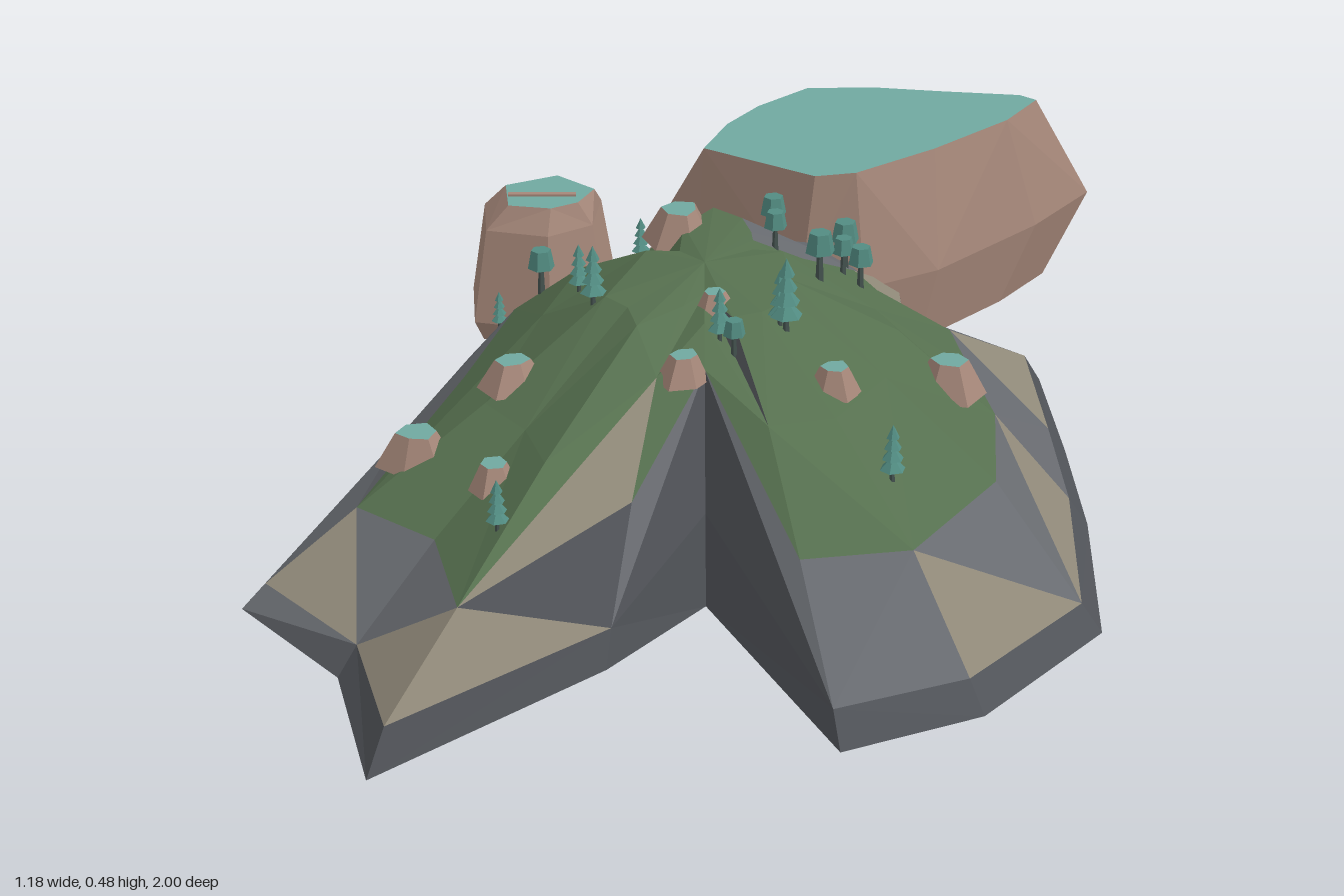
import * as THREE from 'three';

const COLORS = { grass: 0x56704f, rock: 0x686b70, darkRock: 0x505358, sand: 0x8f8878, clay: 0xa58779,
  teal: 0x70a8a0, leaf: 0x528c82, trunk: 0x44524f, base: 0x3b3c3f };
const MATERIALS = {};
for (const key in COLORS) {
  MATERIALS[key] = new THREE.MeshStandardMaterial({ color: COLORS[key], flatShading: true });
}

function makeMesh(name, geometry, material) {
  const mesh = new THREE.Mesh(geometry, MATERIALS[material]);
  mesh.name = name;
  return mesh;
}

function fromTriangles(tris) {
  const g = new THREE.BufferGeometry().setFromPoints(tris.flat());
  g.computeVertexNormals();
  return g;
}

// Small repeatable noise in -1..1
const noise = (i, j) => {
  const s = Math.sin(i * 127.1 + j * 311.7) * 43758.5453;
  return (s - Math.floor(s)) * 2 - 1;
};

// Side walls between loops listed top to bottom, each anticlockwise from above
function wallTriangles(loops) {
  const tris = [];
  for (let r = 0; r < loops.length - 1; r++) {
    const a = loops[r], b = loops[r + 1], n = a.length;
    for (let i = 0; i < n; i++) {
      const k = (i + 1) % n;
      if ((i + r) % 2) tris.push([a[i], b[i], b[k]], [a[i], b[k], a[k]]);
      else tris.push([a[i], b[i], a[k]], [a[k], b[i], b[k]]);
    }
  }
  return tris;
}

function centreOf(loop) {
  return loop.reduce((s, p) => s.add(p), new THREE.Vector3()).divideScalar(loop.length);
}

function capTriangles(loop, centre = centreOf(loop), down = false) {
  return loop.map((p, i) => {
    const q = loop[(i + 1) % loop.length];
    return down ? [centre, q, p] : [centre, p, q];
  });
}

// Shore: x, z, base height, then slope heights at the three outer rings
const SHORE = [
  [-0.28, -1.0, 0.04, 0.25, 0.15, 0.07], [-0.4, -0.65, 0, 0.26, 0.16, 0.07],
  [-0.31, -0.22, 0.03, 0.32, 0.22, 0.11], [-0.53, -0.175, 0.04, 0.315, 0.205, 0.09],
  [-0.55, 0.12, 0.045, 0.3, 0.19, 0.085], [-0.59, 0.61, 0.045, 0.265, 0.155, 0.075],
  [-0.4, 0.74, 0.035, 0.27, 0.17, 0.07], [-0.265, 1.0, 0.05, 0.29, 0.185, 0.105],
  [-0.05, 0.63, 0.035, 0.345, 0.22, 0.085], [0.03, 0.4, 0.02, 0.38, 0.35, 0.16],
  [0.3, 0.72, 0.01, 0.31, 0.19, 0.055], [0.47, 0.59, 0.015, 0.3, 0.185, 0.055],
  [0.59, 0.345, 0.025, 0.31, 0.205, 0.06], [0.52, 0.05, 0.035, 0.32, 0.2, 0.075],
  [0.45, -0.16, 0.045, 0.305, 0.195, 0.085], [0.37, -0.385, 0.05, 0.28, 0.18, 0.1],
  [0.165, -0.37, 0.05, 0.31, 0.23, 0.16], [0.125, -0.52, 0.05, 0.3, 0.22, 0.14],
  [0.08, -0.65, 0.03, 0.28, 0.18, 0.08], [-0.04, -0.87, 0.03, 0.25, 0.15, 0.07]];
const RINGS = [0.22, 0.48, 0.74, 0.95, 1];
const FRONT_TIP = 7, CLEFT = 9;

function buildHill() {
  const hill = new THREE.Group();
  hill.name = 'hill';
  const peak = new THREE.Vector3(-0.06, 0.4, 0.06);
  const loops = RINGS.map((t, r) => SHORE.map(([x, z, low, ...slope], i) => {
    const jitter = r === 1 || r === 2 ? 0.025 * noise(i, r) : 0;
    const u = i === CLEFT ? t : t + jitter;
    const y = [0.385, ...slope, low][r];
    return new THREE.Vector3(peak.x + (x - peak.x) * u, y, peak.z + (z - peak.z) * u);
  }));
  const tris = [...capTriangles(loops[0], peak), ...wallTriangles(loops)];

  // Sort faces into ground types by height and steepness; the front cleft is bare rock
  const bands = { grass: [], rock: [], darkRock: [], sand: [] };
  tris.forEach((t, n) => {
    const c = centreOf(t);
    const up = new THREE.Triangle(...t).getNormal(new THREE.Vector3()).y;
    const sector = n < SHORE.length ? n : Math.floor(n / 2) % SHORE.length;
    const inCleft = sector >= FRONT_TIP && sector <= CLEFT && n >= SHORE.length && c.y < 0.365;
    let kind = 'rock';
    if (c.y < 0.08) kind = up < 0.75 ? 'darkRock' : 'rock';
    else if (c.y > 0.19 && up > 0.62 && !inCleft) kind = 'grass';
    else if (up < 0.5) kind = 'darkRock';
    else if (noise(n, 5) > 0.4 && !inCleft) kind = 'sand';
    bands[kind].push(t);
  });
  for (const kind in bands) hill.add(makeMesh(kind + 'Slopes', fromTriangles(bands[kind]), kind));
  const under = capTriangles(loops[4], new THREE.Vector3(-0.06, 0.025, 0.06), true);
  hill.add(makeMesh('underside', fromTriangles(under), 'base'));

  // Ground height for planting
  const ray = new THREE.Raycaster();
  const groundAt = (x, z) => {
    ray.set(new THREE.Vector3(x, 2, z), new THREE.Vector3(0, -1, 0));
    return ray.intersectObjects(hill.children)[0].point.y;
  };
  return { hill, groundAt };
}

// Clay outcrop with a teal top
function buildOutcrop(name, loops) {
  const group = new THREE.Group();
  group.name = name;
  const last = loops[loops.length - 1];
  const walls = [...wallTriangles(loops), ...capTriangles(last, undefined, true)];
  group.add(makeMesh(name + 'Walls', fromTriangles(walls), 'clay'));
  group.add(makeMesh(name + 'Top', fromTriangles(capTriangles(loops[0])), 'teal'));
  return group;
}

// Level loop, optionally scaled about its middle and moved in z
function loopAt(points, y, scale = 1, dz = 0) {
  const loop = points.map(([x, z]) => new THREE.Vector3(x, y, z));
  const c = centreOf(loop);
  loop.forEach(p => p.sub(c).multiplyScalar(scale).add(c).setZ(p.z + dz));
  return loop;
}

function buildBoulder(x, y, z, r, seed) {
  const ring = (radius, h) => Array.from({ length: 6 }, (_, i) => {
    const a = -i * Math.PI / 3 + seed, q = radius * (1 + 0.2 * noise(i, seed));
    return new THREE.Vector3(x + q * Math.cos(a), y + h, z + q * Math.sin(a));
  });
  return buildOutcrop('boulder', [ring(r * 0.5, r * 0.6), ring(r, -r * 0.35)]);
}

// Layered conifer
function buildConifer(x, y, z, h) {
  const tree = new THREE.Group();
  tree.name = 'conifer';
  const trunk = makeMesh('trunk', new THREE.CylinderGeometry(h * 0.035, h * 0.05, h * 0.4, 5), 'trunk');
  trunk.position.y = h * 0.12;
  tree.add(trunk);
  for (let i = 0; i < 4; i++) {
    const tier = makeMesh('branches', new THREE.ConeGeometry(h * (0.22 - i * 0.035), h * 0.24, 6), 'leaf');
    tier.position.y = h * (0.32 + i * 0.19);
    tree.add(tier);
  }
  tree.position.set(x, y, z);
  return tree;
}

// Round-topped tree
function buildBroadleaf(x, y, z, h) {
  const tree = new THREE.Group();
  tree.name = 'broadleafTree';
  const trunk = makeMesh('trunk', new THREE.CylinderGeometry(h * 0.06, h * 0.09, h * 0.65, 5), 'trunk');
  trunk.position.y = h * 0.28;
  const crown = makeMesh('crown', new THREE.CylinderGeometry(h * 0.22, h * 0.3, h * 0.42, 6), 'leaf');
  crown.position.y = h * 0.8;
  tree.add(trunk, crown);
  tree.position.set(x, y, z);
  return tree;
}

export function createModel() {
  const model = new THREE.Group();
  model.name = 'island';
  const { hill, groundAt } = buildHill();
  model.add(hill);

  // Large mesa at the back
  const top = [[-0.1, -0.76], [-0.16, -0.66], [-0.19, -0.57], [-0.2, -0.46], [0, -0.39], [0.06, -0.42],
    [0.16, -0.55], [0.25, -0.7], [0.28, -0.8], [0.25, -0.815], [0.12, -0.8], [0.01, -0.79]];
  const mid = [[-0.18, -0.89], [-0.31, -0.7], [-0.31, -0.6], [-0.21, -0.45], [-0.02, -0.38], [0.08, -0.4],
    [0.18, -0.5], [0.3, -0.72], [0.36, -0.88], [0.305, -0.97], [0.17, -0.88], [0, -0.85]];
  model.add(buildOutcrop('largeMesa', [loopAt(top, 0.36), loopAt(mid, 0.17), loopAt(mid, 0.045, 0.82, 0.04)]));

  // Small mesa at the side
  const smallTop = [[-0.46, -0.5], [-0.53, -0.44], [-0.5, -0.36], [-0.43, -0.365], [-0.395, -0.4], [-0.385, -0.46]];
  const smallMid = [[-0.5, -0.555], [-0.595, -0.45], [-0.55, -0.32], [-0.42, -0.32], [-0.35, -0.4], [-0.37, -0.53]];
  model.add(buildOutcrop('smallMesa', [loopAt(smallTop, 0.27), loopAt(smallMid, 0.23, 0.8),
    loopAt(smallMid, 0.075), loopAt(smallMid, 0.04, 0.88)]));
  const ledge = makeMesh('smallMesaLedge', new THREE.BoxGeometry(0.11, 0.006, 0.012), 'clay');
  ledge.position.set(-0.46, 0.27, -0.415);
  ledge.rotation.y = 0.25;
  model.add(ledge);

  // Boulders: x, z, radius
  [[-0.14, -0.1, 0.055], [-0.21, -0.13, 0.035], [0.31, 0.065, 0.055], [0.18, 0.25, 0.042],
    [-0.02, 0.32, 0.042], [-0.02, 0.16, 0.03], [-0.285, 0.285, 0.045], [-0.4, 0.385, 0.055],
    [-0.25, 0.49, 0.042]].forEach(([x, z, r], i) => model.add(buildBoulder(x, groundAt(x, z), z, r, i + 1)));

  // Conifers: x, z, height
  [[-0.28, -0.365, 0.07], [-0.445, -0.135, 0.06], [-0.255, 0.055, 0.075], [-0.195, 0.18, 0.09],
    [0.095, 0.19, 0.11], [0.085, 0.185, 0.085], [0.29, 0.365, 0.085], [-0.2, 0.63, 0.075],
    [0.01, 0.24, 0.08]].forEach(([x, z, h]) => model.add(buildConifer(x, groundAt(x, z), z, h)));

  // Broadleaf trees: x, z, height
  [[-0.36, -0.09, 0.07], [-0.06, -0.36, 0.07], [0.06, -0.345, 0.075], [0.07, -0.29, 0.06],
    [0, -0.13, 0.06], [0.135, -0.12, 0.065], [0.095, -0.02, 0.075],
    [0.035, 0.255, 0.055]].forEach(([x, z, h]) => model.add(buildBroadleaf(x, groundAt(x, z), z, h)));
  return model;
}
